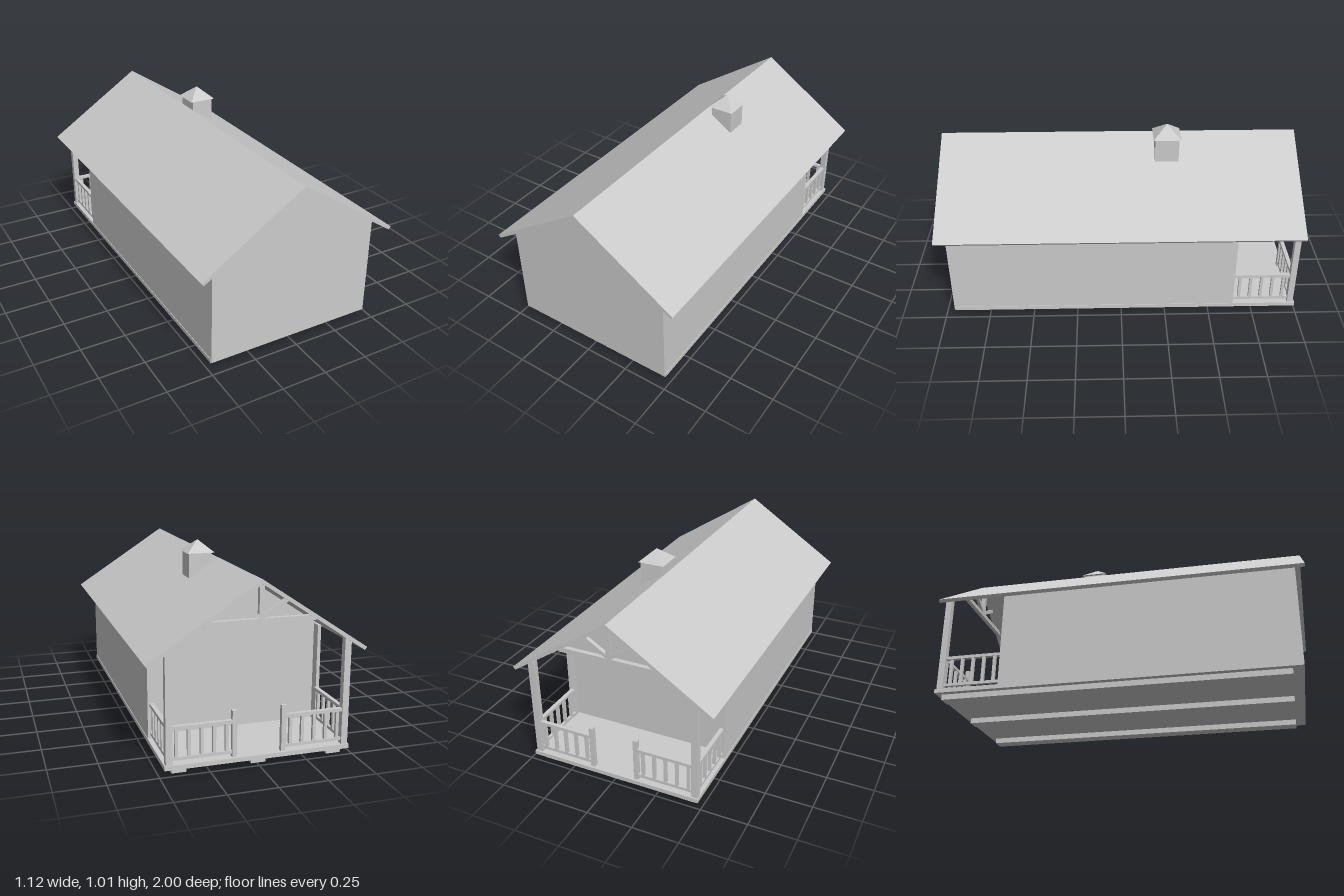
import * as THREE from 'three';

const material = new THREE.MeshStandardMaterial({ color: 0xcccccc, flatShading: true });

function add(parent, name, geometry) {
  const mesh = new THREE.Mesh(geometry, material);
  mesh.name = name;
  parent.add(mesh);
  return mesh;
}

// Box given by its minimum and maximum on each axis
function box(parent, name, x0, x1, y0, y1, z0, z1) {
  const mesh = add(parent, name, new THREE.BoxGeometry(x1 - x0, y1 - y0, z1 - z0));
  mesh.position.set((x0 + x1) / 2, (y0 + y1) / 2, (z0 + z1) / 2);
  return mesh;
}

// Outline in x and y, extruded along z
function prism(parent, name, points, z0, z1) {
  const shape = new THREE.Shape(points.map(([x, y]) => new THREE.Vector2(x, y)));
  const geometry = new THREE.ExtrudeGeometry(shape, { depth: z1 - z0, bevelEnabled: false });
  return add(parent, name, geometry.translate(0, 0, z0));
}

// Square bar between two points in a plane of constant z
function brace(parent, name, a, b, z, size) {
  const dx = b[0] - a[0], dy = b[1] - a[1];
  const mesh = add(parent, name, new THREE.BoxGeometry(Math.hypot(dx, dy), size, size));
  mesh.position.set((a[0] + b[0]) / 2, (a[1] + b[1]) / 2, z);
  mesh.rotation.z = Math.atan2(dy, dx);
}

// Railing of the given length, running along x from the origin
function railing(name, length, count) {
  const group = new THREE.Group();
  group.name = name;
  box(group, 'topRail', 0, length, 0.225, 0.242, -0.011, 0.011);
  box(group, 'bottomRail', 0, length, 0.07, 0.086, -0.008, 0.008);
  for (let i = 0; i < count; i++) {
    const x = length * (i + 0.6) / (count + 0.2);
    box(group, 'baluster', x - 0.008, x + 0.008, 0.08, 0.23, -0.008, 0.008);
  }
  return group;
}

export function createModel() {
  const model = new THREE.Group();
  model.name = 'cabin';
  const ridge = -0.005;

  // Skids and floor
  for (const x of [-0.412, -0.008, 0.397]) {
    box(model, 'skid', x - 0.038, x + 0.038, 0, 0.032, -0.965, 0.895);
  }
  box(model, 'floor', -0.482, 0.475, 0.03, 0.053, -0.995, 0.948);

  // Enclosed room, with side walls running a little past its porch wall
  prism(model, 'room', [[-0.479, 0.032], [0.472, 0.032], [0.472, 0.59], [ridge, 0.9], [-0.479, 0.59]], -0.59, 0.952);
  box(model, 'sideWallEnd', -0.479, -0.46, 0.04, 0.585, -0.64, -0.588);
  box(model, 'sideWallEnd', 0.453, 0.472, 0.04, 0.585, -0.64, -0.588);

  // Gabled roof sheet
  prism(model, 'roof', [
    [ridge, 0.921], [-0.561, 0.553], [-0.549, 0.538], [ridge, 0.899], [0.549, 0.538], [0.561, 0.553],
  ], -0.99, 1.0);

  // Chimney with a pyramid cap
  box(model, 'chimney', 0.033, 0.16, 0.812, 0.951, -0.325, -0.193);
  const cap = add(model, 'chimneyCap', new THREE.ConeGeometry(0.076 * Math.SQRT2, 0.066, 4).rotateY(Math.PI / 4));
  cap.position.set(0.094, 0.982, -0.259);

  // Porch, mirrored about the ridge line
  const porch = new THREE.Group();
  porch.name = 'porch';
  porch.position.x = ridge;
  model.add(porch);
  for (const s of [-1, 1]) {
    const px = s * 0.455;
    box(porch, 'cornerPost', px - 0.017, px + 0.017, 0.05, 0.607, -0.987, -0.953);
    const nx = s * 0.127;
    box(porch, 'gatePost', nx - 0.012, nx + 0.012, 0.05, 0.29, -0.982, -0.958);

    const side = railing('sideRailing', 0.32, 5);
    side.rotation.y = Math.PI / 2;
    side.position.set(px, 0, -0.637);
    porch.add(side);

    const end = railing('endRailing', 0.328, 5);
    end.position.set(s > 0 ? 0.127 : -0.455, 0, -0.97);
    porch.add(end);

    brace(porch, 'trussBrace', [0, 0.735], [s * 0.13, 0.815], -0.97, 0.02);
  }
  // Gable truss
  box(porch, 'trussBeam', -0.28, 0.28, 0.708, 0.733, -0.982, -0.958);
  box(porch, 'kingPost', -0.012, 0.012, 0.73, 0.905, -0.982, -0.958);

  return model;
}
